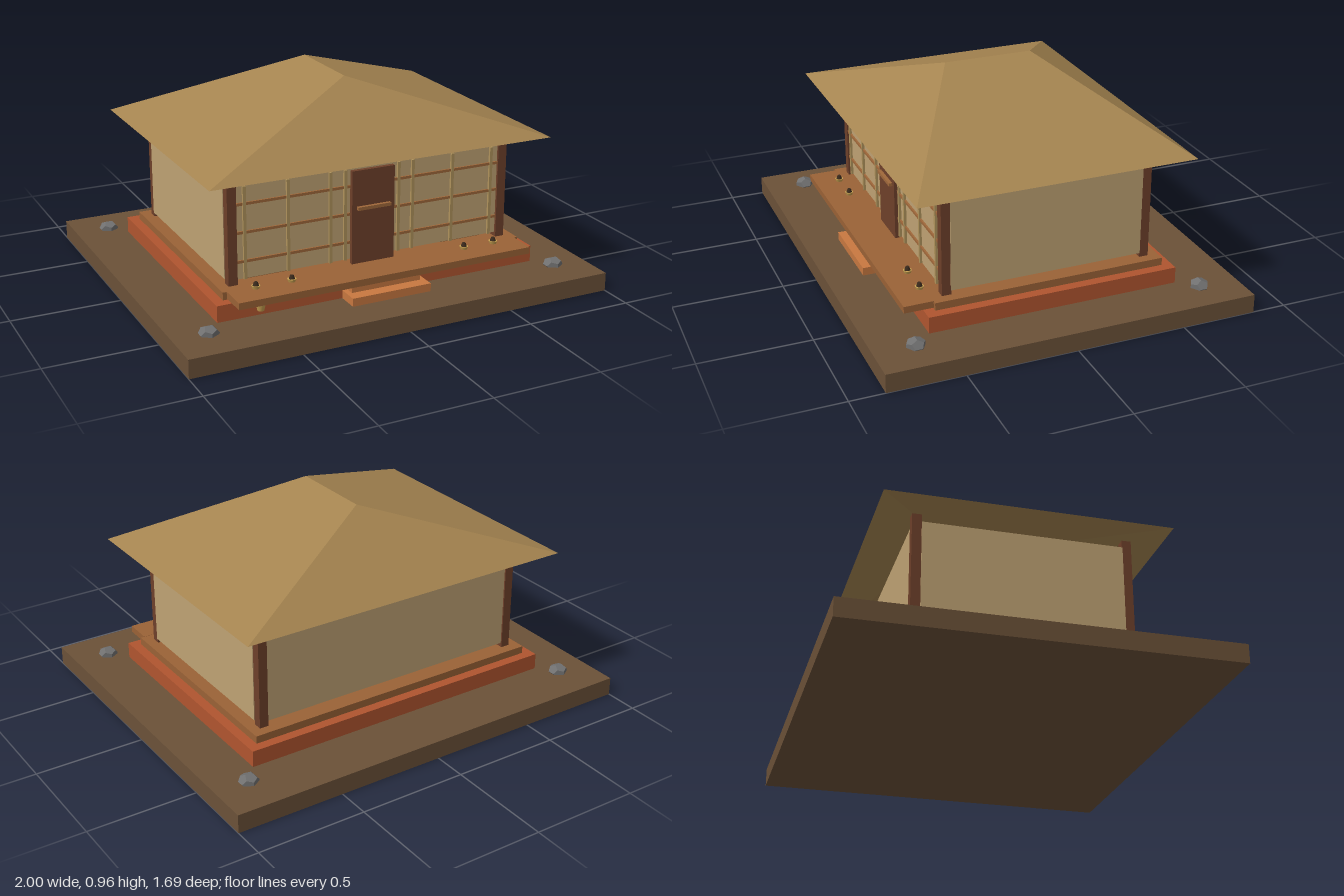
import * as THREE from 'three';

const mat = (color, extra = {}) => new THREE.MeshStandardMaterial({ color, ...extra });
const M = {
  earth: mat(0x6b5138), clay: mat(0xb0552f), deck: mat(0x9a6236), step: mat(0xc87840),
  post: mat(0x6e402a), wall: mat(0xbfa273), bar: mat(0xa0683a), strip: mat(0xb0935c),
  stone: mat(0x707070, { flatShading: true }), gold: mat(0xc8a050), dark: mat(0x3a2a1c),
  roof: mat(0xa58450, { flatShading: true, side: THREE.DoubleSide }),
};

export function createModel() {
  const model = new THREE.Group();
  model.name = 'teaHouse';

  const add = (name, geometry, material, x = 0, y = 0, z = 0) => {
    const mesh = new THREE.Mesh(geometry, material);
    mesh.name = name;
    mesh.position.set(x, y, z);
    model.add(mesh);
    return mesh;
  };
  // Box given by its extents on each axis
  const box = (name, material, [x0, x1], [y0, y1], [z0, z1]) =>
    add(name, new THREE.BoxGeometry(x1 - x0, y1 - y0, z1 - z0), material,
      (x0 + x1) / 2, (y0 + y1) / 2, (z0 + z1) / 2);

  // Ground, plinth, floor, veranda and steps
  box('ground', M.earth, [-1, 1], [0, 0.085], [-0.845, 0.845]);
  box('plinth', M.clay, [-0.77, 0.77], [0.085, 0.16], [-0.577, 0.577]);
  box('floor', M.deck, [-0.725, 0.725], [0.16, 0.195], [-0.532, 0.532]);
  box('veranda', M.deck, [-0.707, 0.707], [0.165, 0.196], [0.53, 0.664]);
  box('lowerStep', M.step, [-0.19, 0.19], [0.085, 0.122], [0.577, 0.678]);
  box('upperStep', M.step, [-0.167, 0.167], [0.122, 0.155], [0.577, 0.622]);

  // Corner posts and garden stones
  for (const sx of [-1, 1]) for (const sz of [-1, 1]) {
    box('post', M.post, [sx * 0.658 - 0.021, sx * 0.658 + 0.021], [0.195, 0.673],
      [sz * 0.464 - 0.021, sz * 0.464 + 0.021]);
    const stone = add('stone', new THREE.DodecahedronGeometry(0.045), M.stone, sx * 0.84, 0.09, sz * 0.66);
    stone.scale.y = 0.75;
  }

  // Walls, raised slightly off the floor
  const wallY = [0.215, 0.638];
  box('backWall', M.wall, [-0.637, 0.637], wallY, [-0.478, -0.45]);
  box('frontWall', M.wall, [-0.637, 0.637], wallY, [0.452, 0.474]);
  for (const s of [-1, 1])
    box('sideWall', M.wall, [s * 0.667 - 0.015, s * 0.667 + 0.015], wallY, [-0.443, 0.445]);

  // Screen lattice and floor mats on both sides of the door
  for (const s of [-1, 1]) {
    for (const y of [0.295, 0.425, 0.552])
      box('latticeRail', M.bar, [s * 0.37 - 0.265, s * 0.37 + 0.265], [y - 0.006, y + 0.006], [0.474, 0.482]);
    for (const x of [0.13, 0.2, 0.4, 0.6])
      box('latticeStile', M.strip, [s * x - 0.007, s * x + 0.007], [0.215, 0.63], [0.474, 0.485]);
    box('floorMat', M.bar, [s * 0.478 - 0.105, s * 0.478 + 0.105], [0.195, 0.213], [0.25, 0.435]);
  }

  // Door and handle
  box('door', M.post, [-0.103, 0.103], [0.195, 0.623], [0.474, 0.494]);
  box('doorHandle', M.bar, [-0.08, 0.08], [0.445, 0.46], [0.494, 0.51]);

  // Little oil lamps on the veranda
  for (const x of [-0.583, -0.417, 0.43, 0.583]) {
    add('lampBowl', new THREE.CylinderGeometry(0.02, 0.015, 0.014, 10), M.gold, x, 0.202, 0.551);
    add('lampCap', new THREE.CylinderGeometry(0.008, 0.014, 0.016, 8), M.dark, x, 0.217, 0.551);
  }

  // Small bell hanging below the veranda
  add('bell', new THREE.CylinderGeometry(0.026, 0.015, 0.045, 8), M.gold, -0.585, 0.14, 0.605);

  // Hipped roof: eave corners and the two ridge ends
  const [ex, ez, ey, ry, rz] = [0.812, 0.633, 0.69, 0.965, 0.205];
  const a = [-ex, ey, ez], b = [ex, ey, ez], c = [ex, ey, -ez], d = [-ex, ey, -ez];
  const f = [0, ry, rz], k = [0, ry, -rz];
  const roof = new THREE.BufferGeometry();
  const corners = [a, b, f, b, c, k, b, k, f, c, d, k, d, a, f, d, f, k].flat();
  roof.setAttribute('position', new THREE.Float32BufferAttribute(corners, 3));
  roof.computeVertexNormals();
  add('roof', roof, M.roof);

  return model;
}
